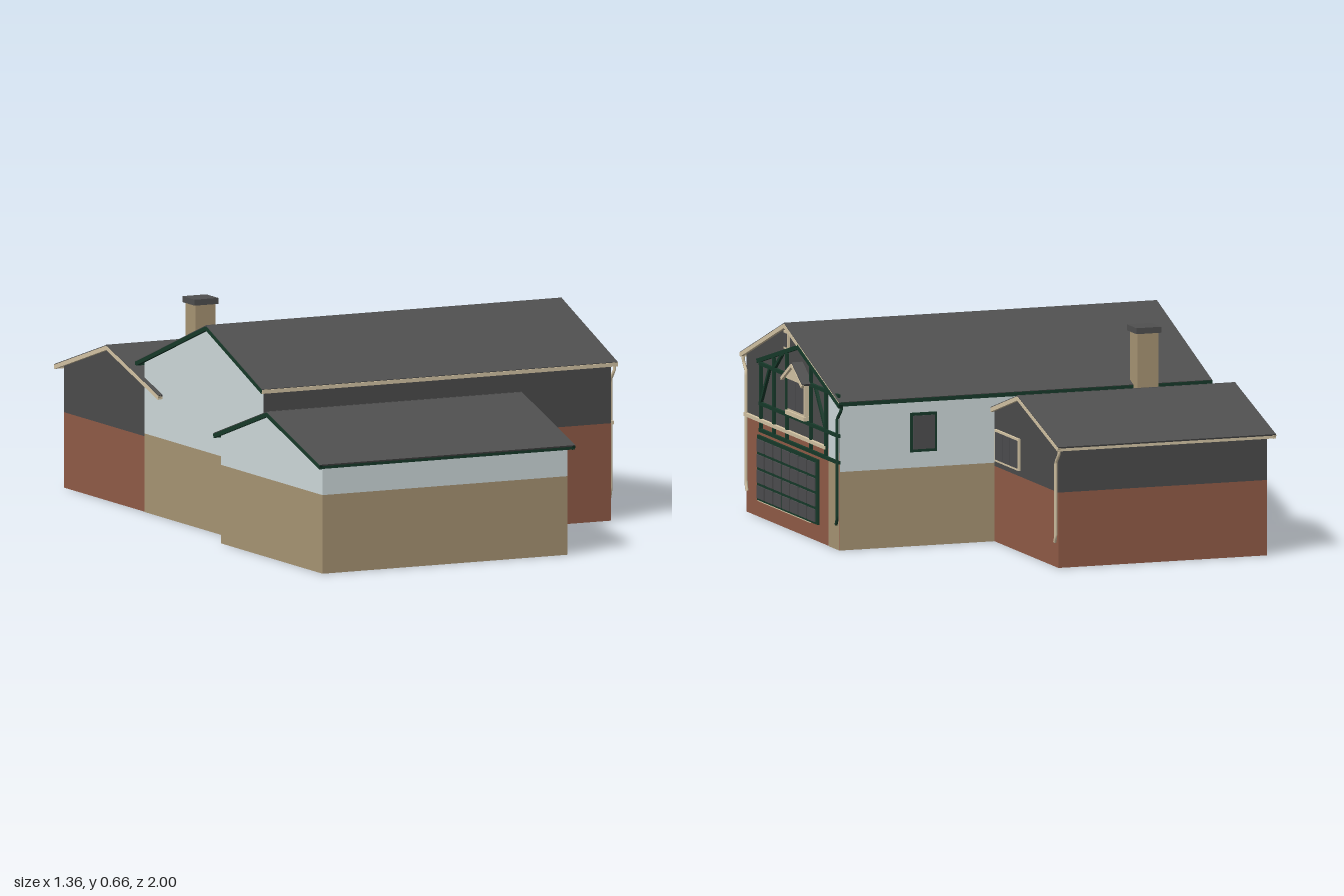
import * as THREE from 'three';

const mat = (name, color) => {
  const m = new THREE.MeshStandardMaterial({ color, side: THREE.DoubleSide });
  m.name = name;
  return m;
};

export function createModel() {
  const house = new THREE.Group();
  house.name = 'house';
  const tan = mat('tan block', 0xa99675), pale = mat('pale siding', 0xd0dbdd);
  const brick = mat('red brick', 0x925c48), slate = mat('dark siding', 0x4c4c4c);
  const roofing = mat('roof', 0x505050), green = mat('green trim', 0x173a2a);
  const cream = mat('cream trim', 0xd6c6a6), glass = mat('glass', 0x4e4e50);

  const add = (name, geo, material, parent = house) => {
    const m = new THREE.Mesh(geo, material);
    m.name = name;
    parent.add(m);
    return m;
  };
  // Axis-aligned block given by its extents
  const block = (name, x0, x1, y0, y1, z0, z1, material, parent) => {
    const m = add(name, new THREE.BoxGeometry(x1 - x0, y1 - y0, Math.abs(z1 - z0)), material, parent);
    m.position.set((x0 + x1) / 2, (y0 + y1) / 2, (z0 + z1) / 2);
    return m;
  };
  // Board spanning x0..x1 that runs between two [z, y] points
  const board = (name, x0, x1, a, b, t, material, parent) => {
    const dir = b[0] > a[0] ? 1 : -1;
    const dz = (b[0] - a[0]) * dir, dy = (b[1] - a[1]) * dir;
    const m = add(name, new THREE.BoxGeometry(x1 - x0, t, Math.hypot(dz, dy)), material, parent);
    m.position.set((x0 + x1) / 2, (a[1] + b[1]) / 2, (a[0] + b[0]) / 2);
    m.rotation.x = -Math.atan2(dy, dz);
    return m;
  };
  // Flat convex polygon
  const face = (name, pts, material, parent) => {
    const tri = [];
    for (let i = 1; i < pts.length - 1; i++) tri.push(...pts[0], ...pts[i], ...pts[i + 1]);
    const g = new THREE.BufferGeometry();
    g.setAttribute('position', new THREE.Float32BufferAttribute(tri, 3));
    g.computeVertexNormals();
    return add(name, g, material, parent);
  };

  // Gabled volume: two-tone walls, roof slabs, gutters and rake boards.
  // sides: front, back, east (+x), west (-x), each [split height, lower, upper]
  const wing = (name, o) => {
    const g = new THREE.Group();
    g.name = name;
    house.add(g);
    const [rz, ry] = o.ridge, T = 0.012;
    const roofY = z => {
      const [ez, ey] = z > rz ? o.frontEave : o.backEave;
      return ry + (ey - ry) * (z - rz) / (ez - rz) - T;
    };
    const { x0, x1, z0, z1 } = o;
    for (const [side, z] of [['front', z1], ['back', z0]]) {
      const [s, lo, hi] = o[side], t = roofY(z);
      face(side + 'LowerWall', [[x0, 0, z], [x1, 0, z], [x1, s, z], [x0, s, z]], lo, g);
      face(side + 'UpperWall', [[x0, s, z], [x1, s, z], [x1, t, z], [x0, t, z]], hi, g);
    }
    for (const [side, x] of [['east', x1], ['west', x0]]) {
      const [s, lo, hi] = o[side];
      face(side + 'LowerWall', [[x, 0, z0], [x, s, z0], [x, s, z1], [x, 0, z1]], lo, g);
      face(side + 'Gable', [[x, s, z0], [x, roofY(z0), z0], [x, ry - T, rz], [x, roofY(z1), z1], [x, s, z1]], hi, g);
    }
    const drop = (p, d) => [p[0], p[1] - d];
    for (const [side, eave, trim] of [['front', o.frontEave, o.frontTrim], ['back', o.backEave, o.backTrim]]) {
      // Slab with a trim-coloured soffit; it overlaps its twin a little at the ridge
      const k = 0.003 / Math.abs(eave[0] - rz);
      const top = [rz - (eave[0] - rz) * k, ry - 0.005 - (eave[1] - ry) * k];
      const slab = [roofing, roofing, roofing, trim, roofing, roofing];
      board(side + 'Roof', o.rx0, o.rx1, top, drop(eave, 0.005), 0.01, slab, g);
      const s = Math.sign(eave[0] - rz);
      block(side + 'Gutter', o.rx0, o.rx1, eave[1] - 0.014, eave[1] - 0.002, eave[0] - s * 0.01, eave[0] + s * o.lip, trim, g);
      board(side + 'EastRake', o.rx1 - 0.009, o.rx1 + 0.001, drop(o.ridge, 0.009), drop(eave, 0.009), 0.013, o.eastTrim, g);
      board(side + 'WestRake', o.rx0 - 0.001, o.rx0 + 0.009, drop(o.ridge, 0.009), drop(eave, 0.009), 0.013, o.westTrim, g);
    }
  };

  const tanPale = [0.25, tan, pale], brickDark = [0.31, brick, slate], lowBrick = [0.24, brick, slate];
  wing('mainHouse', {
    x0: -0.585, x1: 0.64, z0: -0.405, z1: 0.42, rx0: -0.6, rx1: 0.655,
    ridge: [0.05, 0.657], frontEave: [0.437, 0.507], backEave: [-0.435, 0.478], lip: 0.005,
    front: brickDark, east: brickDark, back: tanPale, west: tanPale,
    frontTrim: cream, backTrim: green, eastTrim: cream, westTrim: green,
  });
  wing('frontWing', {
    x0: -0.665, x1: 0.2, z0: 0.28, z1: 0.985, rx0: -0.683, rx1: 0.218,
    ridge: [0.632, 0.468], frontEave: [1, 0.35], backEave: [0.265, 0.35], lip: 0,
    front: tanPale, east: tanPale, back: tanPale, west: tanPale,
    frontTrim: green, backTrim: green, eastTrim: green, westTrim: green,
  });
  wing('backWing', {
    x0: -0.582, x1: 0.12, z0: -0.97, z1: -0.31, rx0: -0.6, rx1: 0.133,
    ridge: [-0.64, 0.5], frontEave: [-0.28, 0.39], backEave: [-1, 0.39], lip: 0,
    front: lowBrick, east: lowBrick, back: lowBrick, west: lowBrick,
    frontTrim: cream, backTrim: cream, eastTrim: cream, westTrim: cream,
  });
  // Flat ceiling inside the main house
  face('ceiling', [[-0.584, 0.37, -0.404], [0.639, 0.37, -0.404], [0.639, 0.37, 0.419], [-0.584, 0.37, 0.419]], pale);

  // Chimney
  block('chimneyShaft', -0.405, -0.335, 0, 0.645, -0.475, -0.405, tan);
  block('chimneyCap', -0.412, -0.328, 0.645, 0.664, -0.482, -0.398, roofing);

  // Corner strip of the garage gable, with its green rake
  const X = 0.64;
  face('cornerLowerPanel', [[X + 0.002, 0, -0.31], [X + 0.002, 0, -0.406], [X + 0.002, 0.28, -0.406], [X + 0.002, 0.28, -0.31]], tan);
  face('cornerUpperPanel', [[X + 0.002, 0.28, -0.31], [X + 0.002, 0.28, -0.406], [X + 0.002, 0.475, -0.406], [X + 0.002, 0.51, -0.31]], pale);
  board('greenRake', X + 0.004, X + 0.018, [-0.07, 0.6], [-0.44, 0.465], 0.014, green);

  // Half-timbered gable
  const timber = new THREE.Group();
  timber.name = 'timberFrame';
  house.add(timber);
  const beam = (a, b, t = 0.011) => board('timber', X, X + 0.009, a, b, t, green, timber);
  beam([0.31, 0.497], [-0.07, 0.6], 0.013);
  for (const y of [0.28, 0.365, 0.492]) beam([0.29, y], [-0.41, y]);
  for (const [z, top] of [[0.282, 0.5], [0.165, 0.53], [0.05, 0.56], [-0.16, 0.56], [-0.295, 0.51]]) beam([z, 0.275], [z, top]);
  beam([0.165, 0.492], [0.09, 0.552], 0.01);
  beam([0.282, 0.365], [0.2, 0.492], 0.01);
  beam([-0.295, 0.365], [-0.2, 0.492], 0.01);
  block('creamBand', X, X + 0.011, 0.306, 0.317, 0.42, -0.3, cream);

  // Garage door with raised panels
  const door = new THREE.Group();
  door.name = 'garageDoor';
  house.add(door);
  block('doorFrame', X, X + 0.004, 0.05, 0.258, 0.312, -0.15, cream, door);
  block('doorLeaf', X, X + 0.008, 0.055, 0.262, 0.307, -0.226, green, door);
  for (let c = 0; c < 7; c++) for (let r = 0; r < 4; r++) {
    const z = 0.302 - c * 0.0748, y = 0.062 + r * 0.0495;
    block('doorPanel', X, X + 0.012, y, y + 0.04, z, z - 0.064, glass, door);
  }

  // Window in an x-facing wall: frame plate with evenly spaced panes
  const sideWindow = (name, x, z0, z1, y0, y1, n) => {
    block(name + 'Frame', x, x + 0.007, y0, y1, z0, z1, cream);
    const f = 0.007, w = (z1 - z0 - f * (n + 1)) / n;
    for (let i = 0; i < n; i++) {
      const z = z0 + f + i * (w + f);
      block(name + 'Pane', x, x + 0.009, y0 + f, y1 - f, z, z + w, glass);
    }
  };
  sideWindow('backWingWindow', 0.12, -0.635, -0.425, 0.258, 0.36, 3);
  sideWindow('gableVent', X, 0.038, 0.076, 0.572, 0.63, 1);
  // Projecting gable window with a little roof
  block('bayBox', X, 0.657, 0.385, 0.495, -0.148, 0.002, cream);
  sideWindow('bayWindow', 0.655, -0.148, 0.002, 0.388, 0.495, 2);
  block('baySill', X, 0.668, 0.375, 0.388, -0.155, 0.008, cream);
  face('bayPediment', [[0.666, 0.49, -0.16], [0.666, 0.49, 0.012], [0.666, 0.543, -0.074]], cream);
  for (const z of [0.018, -0.166]) {
    board('bayRoof', X, 0.677, [-0.074, 0.548], [z, 0.492], 0.008, roofing);
    board('bayRake', 0.67, 0.679, [-0.074, 0.542], [z, 0.486], 0.01, cream);
  }

  // Windows of the rear wall
  for (const x of [0.36, -0.3]) {
    block('rearWindowFrame', x - 0.045, x + 0.045, 0.3, 0.425, -0.411, -0.405, green);
    block('rearWindowPane', x - 0.036, x + 0.036, 0.309, 0.416, -0.413, -0.405, glass);
  }

  // Downpipes with a kick at the eave and foot
  const pipe = (name, x, z, out, top, foot, material) => {
    const pts = [[z + out, top], [z + out, top - 0.02], [z, top - 0.05], [z, foot + 0.02], [z - out * 0.3, foot]];
    const path = new THREE.CurvePath();
    for (let i = 0; i < pts.length - 1; i++) {
      path.add(new THREE.LineCurve3(new THREE.Vector3(x, pts[i][1], pts[i][0]), new THREE.Vector3(x, pts[i + 1][1], pts[i + 1][0])));
    }
    add(name, new THREE.TubeGeometry(path, 24, 0.005, 6), material);
  };
  pipe('frontDownpipe', X + 0.006, 0.408, 0.025, 0.5, 0.07, cream);
  pipe('cornerDownpipe', X + 0.006, -0.397, -0.035, 0.47, 0.08, green);
  pipe('backWingDownpipe', 0.126, -0.962, -0.03, 0.385, 0.08, cream);

  return house;
}
